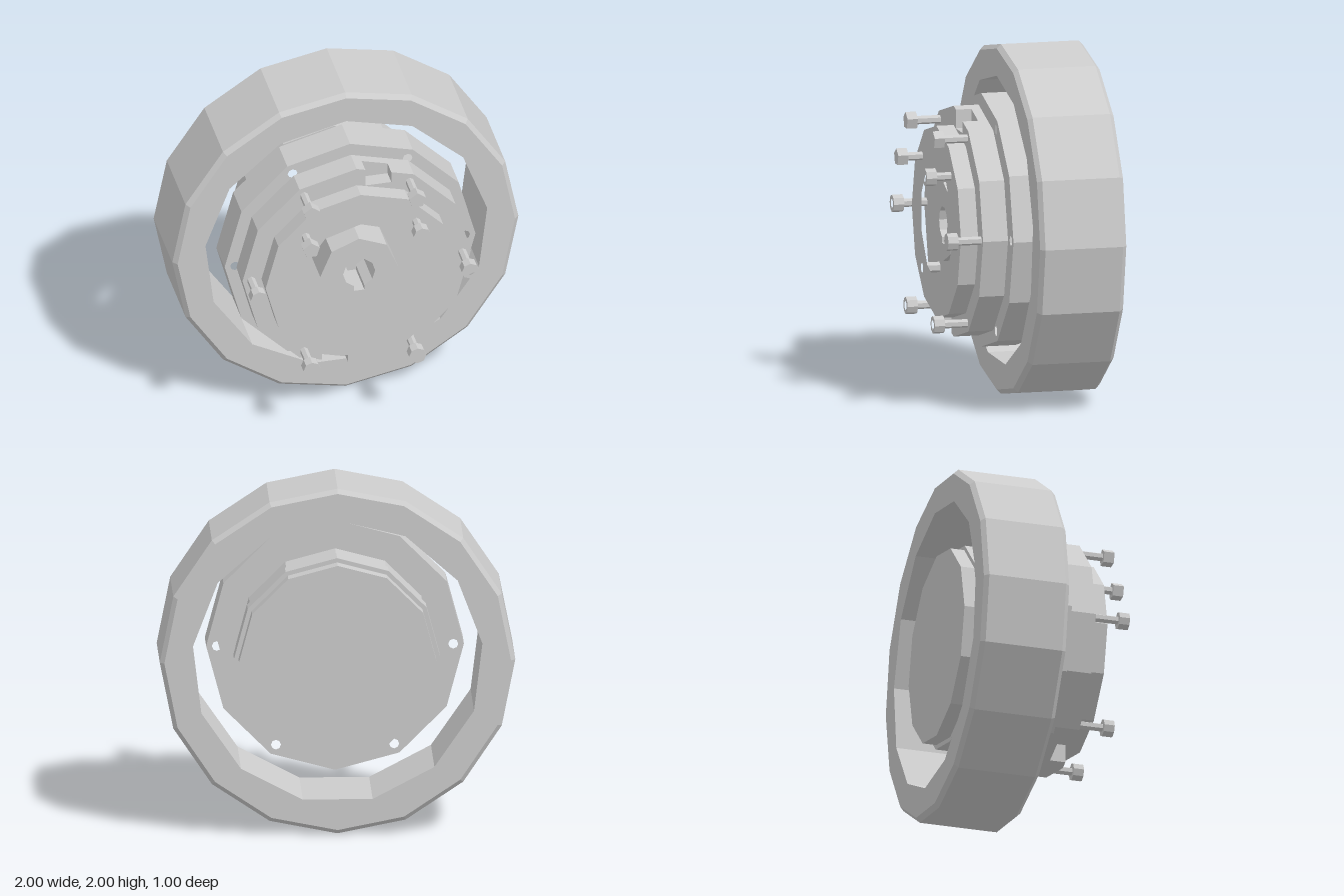
import * as THREE from 'three';

const mat = new THREE.MeshStandardMaterial({ color: 0xcccccc, flatShading: true });
const twoSided = new THREE.MeshStandardMaterial({ color: 0xcccccc, flatShading: true, side: THREE.DoubleSide });

// Regular polygon with its first corner straight up
function polygon(r, n, cx = 0, cy = 0) {
  const pts = [];
  for (let i = 0; i < n; i++) {
    const a = (i / n) * Math.PI * 2;
    pts.push(new THREE.Vector2(cx + r * Math.sin(a), cy + r * Math.cos(a)));
  }
  return pts;
}

function shapeOf(pts, holes = []) {
  const shape = new THREE.Shape(pts);
  holes.forEach(h => shape.holes.push(new THREE.Path(h)));
  return shape;
}

function add(parent, name, geometry, material = mat) {
  const mesh = new THREE.Mesh(geometry, material);
  mesh.name = name;
  parent.add(mesh);
  return mesh;
}

// Flat plate between two depths
function plate(parent, name, pts, z0, z1, holes = []) {
  const geo = new THREE.ExtrudeGeometry(shapeOf(pts, holes), { depth: z1 - z0, bevelEnabled: false });
  return add(parent, name, geo.translate(0, 0, z0));
}

// Solid turned about the z axis; profile is [radius, z] from back to front
function turned(parent, name, profile, sides) {
  const geo = new THREE.LatheGeometry(profile.map(p => new THREE.Vector2(...p)), sides);
  return add(parent, name, geo.rotateX(Math.PI / 2));
}

// Outer wheel ring: chamfered 16-sided tread, 13-sided bore
function makeWheelRing() {
  const ring = new THREE.Group();
  ring.name = 'wheelRing';
  turned(ring, 'tread', [[0.975, -0.5], [1, -0.475], [1, -0.025], [0.975, 0]], 16);
  const face = shapeOf(polygon(0.975, 16), [polygon(0.82, 13)]);
  add(ring, 'frontFace', new THREE.ShapeGeometry(face));
  add(ring, 'backFace', new THREE.ShapeGeometry(face).translate(0, 0, -0.5), twoSided);
  const bore = new THREE.CylinderGeometry(0.82, 0.82, 0.5, 13, 1, true);
  add(ring, 'innerWall', bore.rotateX(-Math.PI / 2).translate(0, 0, -0.25), twoSided);
  return ring;
}

// Twelve-sided outline with a port notch at the top and one opposite
function notchedOutline(r) {
  const edge = x => r - x * Math.tan(Math.PI / 12);
  const notch = [[0.05, edge(0.05)], [0.05, 0.54], [0.2, 0.54], [0.2, edge(0.2)]];
  const pts = [];
  polygon(r, 12).forEach((p, i) => {
    pts.push(p);
    if (i % 6 === 0) {
      const s = i === 0 ? 1 : -1;
      notch.forEach(([x, y]) => pts.push(new THREE.Vector2(s * x, s * y)));
    }
  });
  return pts;
}

// Cap screw: shank plus head, with an optional socket
function makeScrew(x, y, z, socket, shank) {
  const screw = new THREE.Group();
  screw.name = 'screw';
  const z1 = z + shank;
  plate(screw, 'shank', polygon(0.024, 6), z - 0.02, z1);
  const head = polygon(0.05, socket ? 8 : 5);
  plate(screw, 'head', head, z1, z1 + (socket ? 0.02 : 0.06));
  if (socket) plate(screw, 'socketRim', head, z1 + 0.02, z1 + 0.06, [polygon(0.027, 6)]);
  screw.position.set(x, y, 0);
  return screw;
}

export function createModel() {
  const model = new THREE.Group();
  model.name = 'wheelHubAssembly';
  const hub = new THREE.Group();
  hub.name = 'assembly';
  hub.position.y = 1;
  model.add(hub);
  hub.add(makeWheelRing());

  // Rear drum with a raised band
  turned(hub, 'rearDrum', [[0, -0.49], [0.555, -0.49], [0.555, -0.41], [0.58, -0.41],
    [0.58, -0.31], [0.56, -0.31], [0.56, -0.11]], 12);

  // Mounting flange with six holes
  const flangeHoles = [];
  for (let i = 0; i < 6; i++) {
    const a = (i * Math.PI) / 3;
    flangeHoles.push(polygon(0.028, 8, 0.665 * Math.cos(a), 0.665 * Math.sin(a)));
  }
  plate(hub, 'flange', polygon(0.725, 12), -0.11, 0.09, flangeHoles);
  plate(hub, 'spacer', polygon(0.43, 12), 0.09, 0.105);

  // Housing: back layer, notched layer and front cover
  plate(hub, 'housingBack', polygon(0.66, 12), 0.105, 0.16, [polygon(0.32, 10)]);
  plate(hub, 'housingNotched', notchedOutline(0.66), 0.16, 0.25, [polygon(0.32, 10)]);
  const coverHoles = [-1, 1].map(s => polygon(0.03, 6, s * 0.32, -0.32));
  plate(hub, 'frontCover', polygon(0.55, 12), 0.25, 0.35, [polygon(0.35, 10), ...coverHoles]);

  // Shaft sleeve with a keyed bore
  const bore = [];
  for (let i = 0; i <= 9; i++) {
    const a = -1.25 + (i / 9) * (Math.PI + 2.5);
    bore.push(new THREE.Vector2(0.093 * Math.cos(a), 0.093 * Math.sin(a) - 0.005));
  }
  bore.push(new THREE.Vector2(-0.03, -0.125), new THREE.Vector2(0.03, -0.125));
  plate(hub, 'shaftSleeve', polygon(0.225, 8), 0.1, 0.31, [bore]);

  // Outer screws around the housing, two more on the cover
  for (let i = 0; i < 6; i++) {
    const a = (i * Math.PI) / 3;
    const socket = i !== 1 && i !== 2;
    hub.add(makeScrew(0.61 * Math.cos(a), 0.61 * Math.sin(a), 0.25, socket, 0.14));
  }
  hub.add(makeScrew(0.32, 0.32, 0.35, true, 0.09));
  hub.add(makeScrew(-0.32, 0.32, 0.35, false, 0.09));
  return model;
}
